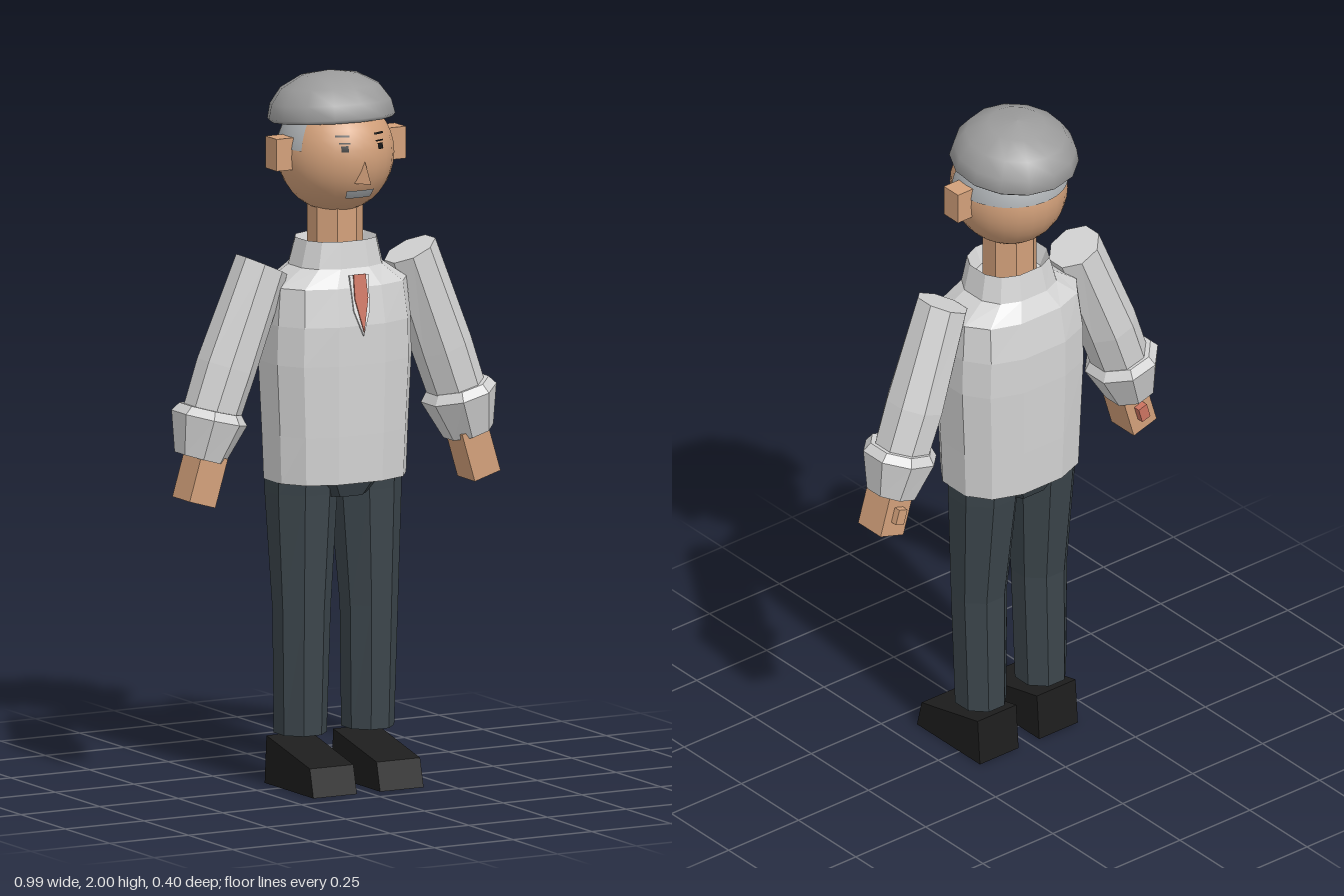
import * as THREE from 'three';

const mat = (name, color) => Object.assign(new THREE.MeshStandardMaterial({ color }), { name });

// Faceted loft: rings run bottom to top, each { c:[x,y,z], rx, rz, tilt }
function loft(rings, n, power = 1) {
  const ends = (f) => Math.sign(f) * Math.abs(f) ** power;
  const maxX = ends(Math.cos(Math.PI / n));
  const pts = rings.map(({ c, rx, rz, tilt = 0 }) => Array.from({ length: n }, (_, i) => {
    const a = ((i + 0.5) / n) * Math.PI * 2;
    const u = (ends(Math.cos(a)) / maxX) * rx, w = (ends(Math.sin(a)) / maxX) * rz;
    return [c[0] + u * Math.cos(tilt), c[1] + u * Math.sin(tilt), c[2] + w];
  }));
  const pos = [];
  const tri = (...p) => p.forEach((q) => pos.push(...q));
  const last = rings.length - 1;
  for (let i = 0; i < n; i++) {
    const j = (i + 1) % n;
    for (let k = 0; k < last; k++) {
      tri(pts[k][i], pts[k + 1][i], pts[k][j]);
      tri(pts[k][j], pts[k + 1][i], pts[k + 1][j]);
    }
    tri(rings[0].c, pts[0][i], pts[0][j]);
    tri(rings[last].c, pts[last][j], pts[last][i]);
  }
  const g = new THREE.BufferGeometry();
  g.setAttribute('position', new THREE.Float32BufferAttribute(pos, 3));
  g.computeVertexNormals();
  return g;
}

export function createModel() {
  const root = new THREE.Group();
  root.name = 'standingMan';
  const skin = mat('skin', 0xd2a07a), shirt = mat('shirt', 0xd4d4d4), trousers = mat('trousers', 0x3b454b);
  const leather = mat('shoeLeather', 0x1d1d1d), wool = mat('capWool', 0x9b9b9b), grey = mat('greyHair', 0xadb1b4);
  const red = mat('tieRed', 0xcb7360), black = mat('black', 0x141414), white = mat('shirtWhite', 0xebebeb);

  const add = (name, geometry, material, parent = root) => {
    const m = new THREE.Mesh(geometry, material);
    m.name = name;
    parent.add(m);
    return m;
  };
  const ring = (x, y, z, rx, rz, tilt = 0) => ({ c: [x, y, z], rx, rz, tilt });

  // Torso with an open standing collar
  add('torso', loft([
    ring(0, 0.865, -0.005, 0.198, 0.145), ring(0, 1.0, -0.005, 0.203, 0.15),
    ring(0, 1.2, -0.005, 0.213, 0.155), ring(0, 1.31, -0.005, 0.21, 0.155),
    ring(0, 1.415, -0.005, 0.2, 0.138), ring(0, 1.465, -0.003, 0.128, 0.11),
    ring(0, 1.54, 0, 0.11, 0.097), ring(0, 1.49, 0, 0.09, 0.08),
  ], 12, 0.8), shirt);
  add('neck', loft([ring(0, 1.45, -0.005, 0.073, 0.068), ring(0, 1.66, -0.005, 0.073, 0.068)], 8), skin);

  // Shirt opening and tie: thin plates leaning with the chest
  const plate = (name, points, material, z) => {
    const g = new THREE.ExtrudeGeometry(new THREE.Shape(points.map((p) => new THREE.Vector2(...p))),
      { depth: 0.006, bevelEnabled: false });
    const m = add(name, g, material);
    m.position.set(0, 1.37, z);
    m.rotation.x = -0.17;
  };
  plate('shirtOpening', [[0, -0.09], [0.025, -0.02], [0.03, 0.08], [-0.03, 0.08], [-0.025, -0.02]], white, 0.139);
  plate('tie', [[0, -0.08], [0.021, 0.015], [0.019, 0.082], [-0.019, 0.082], [-0.021, 0.015]], red, 0.143);

  // Trousers
  add('pelvis', loft([ring(0, 0.82, -0.012, 0.085, 0.1), ring(0, 0.87, -0.012, 0.15, 0.12),
    ring(0, 0.93, -0.01, 0.18, 0.13)], 8), trousers);

  // Shoe side profile, swept across the width
  const shoeSide = new THREE.Shape([[0.185, 0], [0.165, 0.08], [-0.08, 0.135], [-0.09, 0]]
    .map((p) => new THREE.Vector2(...p)));
  const shoeGeo = new THREE.ExtrudeGeometry(shoeSide, { depth: 0.138, bevelEnabled: false });
  shoeGeo.translate(0, 0, -0.069).rotateY(-Math.PI / 2);

  for (const s of [1, -1]) {
    const side = s > 0 ? 'left' : 'right';
    add(side + 'Leg', loft([
      ring(s * 0.107, 0.15, -0.01, 0.068, 0.07), ring(s * 0.107, 0.5, -0.003, 0.076, 0.072),
      ring(s * 0.102, 0.83, -0.015, 0.094, 0.094), ring(s * 0.1, 0.92, -0.015, 0.096, 0.1),
    ], 8), trousers);
    add(side + 'Shoe', shoeGeo, leather).position.x = s * 0.106;

    // Sleeve, turned cuff and hand
    add(side + 'Sleeve', loft([
      ring(s * 0.4, 1.04, -0.01, 0.075, 0.075, s * 0.28), ring(s * 0.342, 1.2, -0.01, 0.078, 0.08, s * 0.33),
      ring(s * 0.235, 1.48, 0, 0.072, 0.068, s * 0.43),
    ], 8), shirt);
    add(side + 'Cuff', loft([
      ring(s * 0.427, 0.95, -0.01, 0.066, 0.07, s * 0.29), ring(s * 0.396, 1.06, -0.01, 0.1, 0.1, s * 0.25),
      ring(s * 0.392, 1.085, -0.01, 0.082, 0.085, s * 0.25),
    ], 8), shirt);
    const hand = new THREE.Group();
    hand.name = side + 'Hand';
    hand.position.set(s * 0.433, 0.897, 0.004);
    hand.rotation.z = s * 0.29;
    root.add(hand);
    add('palm', new THREE.BoxGeometry(0.085, 0.14, 0.098), skin, hand);
    add(s > 0 ? 'thumb' : 'heldToken', new THREE.BoxGeometry(0.03, 0.045, 0.022), s > 0 ? skin : red, hand)
      .position.set(0, -0.005, -0.058);
  }

  // Head
  const head = new THREE.Group();
  head.name = 'head';
  head.position.set(0, 1.776, -0.002);
  head.scale.x = 0.97;
  root.add(head);
  const R = 0.167;
  add('skull', new THREE.SphereGeometry(R, 24, 18), skin, head);
  // Curved patch on the skull, phi measured from straight ahead
  const patch = (name, material, phi, width, theta, height, lift = 0.002) =>
    add(name, new THREE.SphereGeometry(R + lift, Math.ceil(width * 6) + 2, 4,
      Math.PI / 2 + phi - width / 2, width, theta, height), material, head);
  patch('hair', grey, Math.PI, Math.PI + 0.86, 0.8, 0.63);
  patch('moustache', grey, 0, 0.62, 2.1, 0.17, 0.004);
  for (const s of [1, -1]) {
    patch('eye', black, s * 0.36, 0.13, 1.31, 0.1);
    patch('eyelid', black, s * 0.36, 0.2, 1.255, 0.025);
    patch('eyebrow', black, s * 0.4, 0.27, 1.13, 0.035);
    add('ear', new THREE.BoxGeometry(0.055, 0.09, 0.062), skin, head).position.set(s * 0.184, 0.012, 0.002);
  }

  // Pyramid nose pointing forward at its base
  const nose = new THREE.BufferGeometry();
  const [top, tip, l, r] = [[0, 0.01, 0.16], [0, -0.062, 0.202], [0.028, -0.065, 0.145], [-0.028, -0.065, 0.145]];
  nose.setAttribute('position', new THREE.Float32BufferAttribute(
    [top, tip, l, top, r, tip, tip, r, l].flat(), 3));
  nose.computeVertexNormals();
  add('nose', nose, skin, head);

  // Flat cap, lower at the back
  const profile = [[0.14, -0.008], [0.168, -0.01], [0.18, 0], [0.171, 0.04], [0.14, 0.083], [0.08, 0.116], [0, 0.127]];
  const cap = add('cap', new THREE.LatheGeometry(profile.map((p) => new THREE.Vector2(...p)), 14), wool);
  cap.position.set(0, 1.874, -0.025);
  cap.rotation.x = -0.1;

  return root;
}
